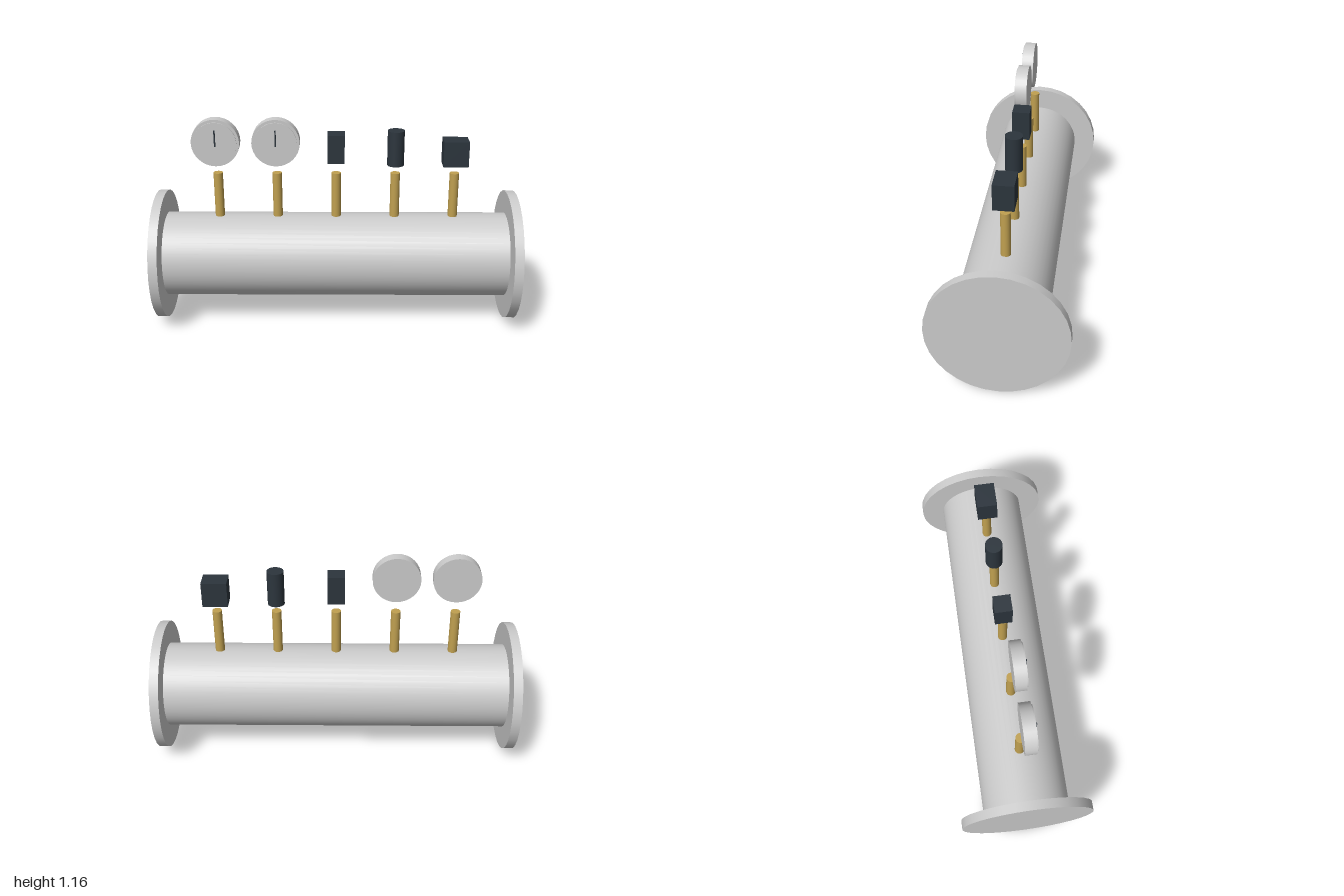
import * as THREE from 'three';

export function createModel() {
  const model = new THREE.Group();
  model.name = 'manifold';

  const steel = new THREE.MeshStandardMaterial({ color: 0xcccccc });
  const brass = new THREE.MeshStandardMaterial({ color: 0xc0a050 });
  const dark = new THREE.MeshStandardMaterial({ color: 0x2c353d });

  const add = (parent, name, geometry, material, x, y, z = 0) => {
    const mesh = new THREE.Mesh(geometry, material);
    mesh.name = name;
    mesh.position.set(x, y, z);
    parent.add(mesh);
    return mesh;
  };
  const cylinder = (r, h, sides = 32) => new THREE.CylinderGeometry(r, r, h, sides);

  // Main pipe along x with a blind flange at each end
  const axisY = 0.363;
  add(model, 'pipe', cylinder(0.236, 1.9, 48).rotateZ(Math.PI / 2), steel, 0, axisY);
  for (const side of [-1, 1]) {
    const name = side > 0 ? 'leftFlange' : 'rightFlange';
    add(model, name, cylinder(0.362, 0.05).rotateZ(Math.PI / 2), steel, side * 0.975, axisY);
  }

  // Five evenly spaced brass stems, rooted in the pipe
  const spacing = 0.325;
  for (let i = -2; i <= 2; i++) {
    add(model, 'stem', cylinder(0.026, 0.27, 24), brass, i * spacing, 0.715);
  }

  // Two round gauges facing the front
  for (const i of [-2, -1]) {
    const gauge = new THREE.Group();
    gauge.name = 'gauge';
    gauge.position.set(i * spacing, 1.035, 0);
    add(gauge, 'gaugeCase', cylinder(0.13, 0.061).rotateX(Math.PI / 2), steel, 0, 0, 0.0305);
    add(gauge, 'gaugeDial', cylinder(0.115, 0.012).rotateX(Math.PI / 2), steel, 0, 0, 0.062);
    add(gauge, 'needle', new THREE.BoxGeometry(0.007, 0.088, 0.009), dark, 0, 0.029, 0.0715);
    model.add(gauge);
  }

  // Dark sensor housings above the remaining stems
  add(model, 'sensorBox', new THREE.BoxGeometry(0.093, 0.16, 0.093), dark, 0, 0.994);
  add(model, 'sensorCylinder', cylinder(0.046, 0.195, 24), dark, spacing, 0.993);
  add(model, 'switchBox', new THREE.BoxGeometry(0.137, 0.14, 0.107), dark, 2 * spacing, 0.97);

  return model;
}
